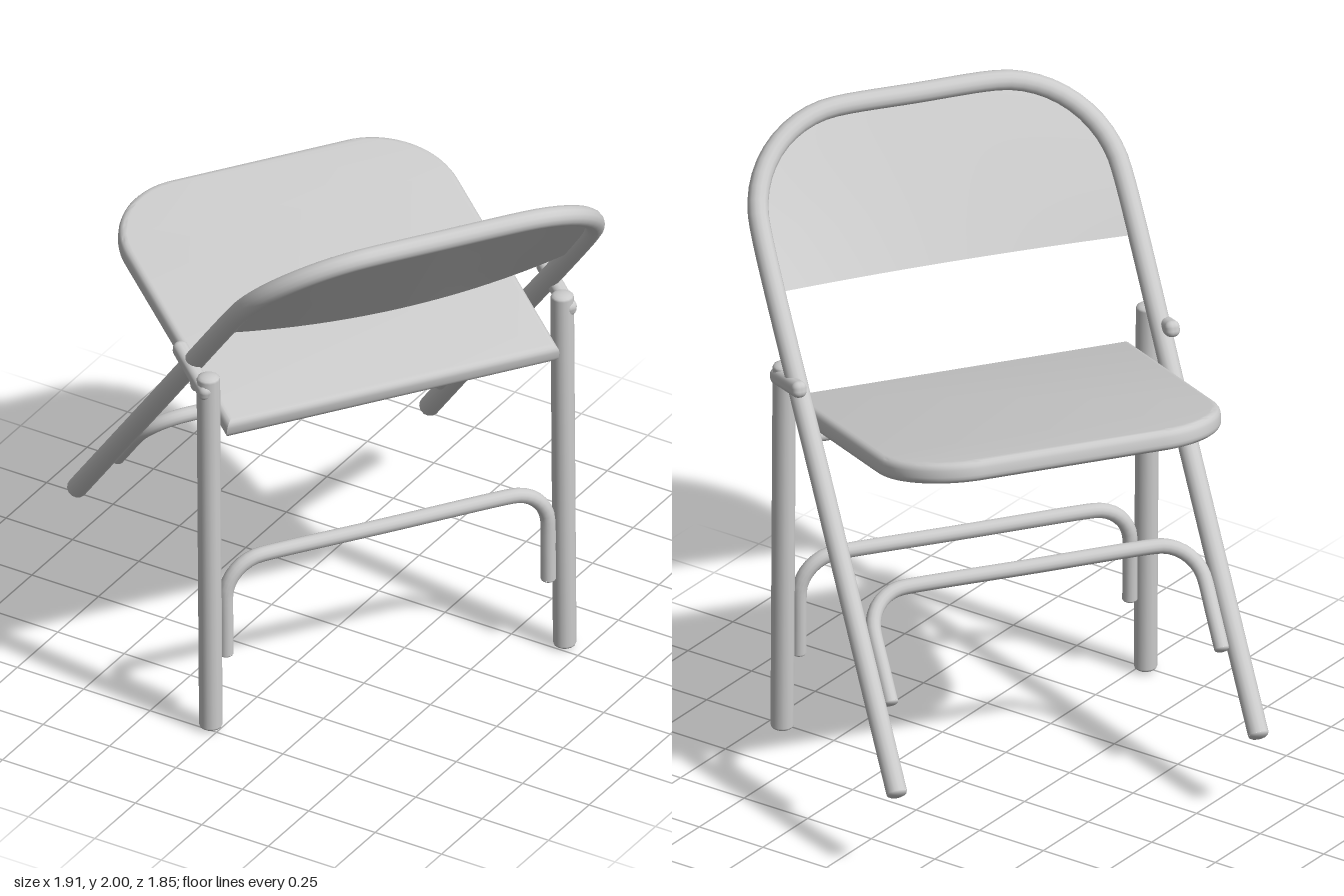
import * as THREE from 'three';
import { toCreasedNormals } from 'three/addons/utils/BufferGeometryUtils.js';
import { RoundedBoxGeometry } from 'three/addons/geometries/RoundedBoxGeometry.js';
import { ParametricGeometry } from 'three/addons/geometries/ParametricGeometry.js';

const metal = new THREE.MeshStandardMaterial({ color: 0xcccccc });
const sheet = new THREE.MeshStandardMaterial({ color: 0xcccccc, side: THREE.DoubleSide });

function part(name, geometry, parent, material = metal) {
  const mesh = new THREE.Mesh(geometry, material);
  mesh.name = name;
  parent.add(mesh);
  return mesh;
}

// Round bar along a curve, closed at both ends by low domes
function bar(name, curve, r, segments, parent) {
  const group = new THREE.Group();
  group.name = name;
  parent.add(group);
  part(name + 'Tube', new THREE.TubeGeometry(curve, segments, r, 14), group);
  for (const t of [0, 1]) {
    const dome = new THREE.SphereGeometry(r, 14, 4, 0, Math.PI * 2, 0, Math.PI / 2);
    const cap = part(name + 'Cap', dome, group);
    const out = curve.getTangentAt(t).multiplyScalar(t ? 1 : -1);
    cap.scale.y = 0.45;
    cap.quaternion.setFromUnitVectors(new THREE.Vector3(0, 1, 0), out);
    cap.position.copy(curve.getPointAt(t));
  }
  return group;
}

// Upside-down U in the XY plane: two straight legs, two round corners, a level top
function archCurve(halfWidth, bottom, top, radius) {
  const points = [];
  const add = (x, y) => points.push(new THREE.Vector3(x, y, 0));
  const cx = halfWidth - radius, cy = top - radius;
  add(halfWidth, bottom);
  add(halfWidth, (bottom + cy) / 2);
  for (let i = 0; i <= 8; i++) {
    const a = (i / 8) * Math.PI / 2;
    add(cx + radius * Math.cos(a), cy + radius * Math.sin(a));
  }
  add(0, top);
  const mirrored = points.slice(0, -1).reverse().map(p => new THREE.Vector3(-p.x, p.y, 0));
  return new THREE.CatmullRomCurve3([...points, ...mirrored]);
}

const HALF = 0.617, TOP = 2.29, CORNER = 0.37; // main frame arch
const FRAME_R = 0.034, BRACE_R = 0.025;

// Leaning frame: front legs and backrest hoop in one tube, with panel and brace
function buildFrame(parent) {
  const frame = new THREE.Group();
  frame.name = 'leaningFrame';
  frame.position.set(0, 0.28, 0.69);
  frame.rotation.x = -0.744;
  parent.add(frame);
  bar('frameHoop', archCurve(HALF, 0.01, TOP, CORNER), FRAME_R, 120, frame);
  bar('frontBrace', archCurve(0.565, 0.31, 0.68, 0.14), BRACE_R, 70, frame);

  // Backrest panel, bowed backward along its lower edge
  const panel = new ParametricGeometry((u, v, target) => {
    const k = 2 * u - 1, bow = 1 - k * k;
    const bottom = 1.71 + 0.025 * bow;
    const s = bottom + (TOP - 0.01 - bottom) * v;
    const rise = Math.max(0, s - (TOP - CORNER));
    const width = HALF - CORNER + Math.sqrt(CORNER * CORNER - rise * rise);
    target.set(k * width, s, -0.06 * bow * (1 - v));
  }, 20, 16);
  part('backrestPanel', panel, frame, sheet);
}

// Rear legs with their brace and the straps linking them to the frame
function buildRearLegs(parent) {
  for (const side of [1, -1]) {
    const leg = new THREE.LineCurve3(
      new THREE.Vector3(side * 0.62, 0.018, -0.4),
      new THREE.Vector3(side * 0.62, 1.315, -0.38));
    bar('rearLeg', leg, 0.038, 1, parent);
    const strap = part('hingeStrap', new RoundedBoxGeometry(0.05, 0.055, 0.25, 3, 0.022), parent);
    strap.position.set(side * 0.637, 1.302, -0.295);
    strap.rotation.x = -0.23;
  }
  const brace = bar('rearBrace', archCurve(0.565, 0.27, 0.61, 0.13), BRACE_R, 70, parent);
  brace.position.z = -0.398;
  brace.rotation.x = 0.012;
}

// Seat: rounded front corners, soft rim, tilted up to the front
function buildSeat(parent) {
  const seat = new THREE.Group();
  seat.name = 'seat';
  seat.position.set(0, 1.175, -0.45);
  seat.rotation.x = -0.214;
  parent.add(seat);
  const bevel = 0.024, w = 0.582 - bevel, depth = 1.115 - bevel, r = 0.25;
  const shape = new THREE.Shape();
  shape.moveTo(-w, bevel);
  shape.lineTo(w, bevel);
  shape.lineTo(w, depth - r);
  shape.absarc(w - r, depth - r, r, 0, Math.PI / 2, false);
  shape.absarc(r - w, depth - r, r, Math.PI / 2, Math.PI, false);
  shape.lineTo(-w, bevel);
  const slab = new THREE.ExtrudeGeometry(shape, {
    depth: 0.07 - 2 * bevel, bevelThickness: bevel, bevelSize: bevel, bevelSegments: 4, curveSegments: 10,
  });
  slab.rotateX(Math.PI / 2).translate(0, -bevel, 0);
  part('seatPan', toCreasedNormals(slab, 0.6), seat);
  const rod = new THREE.LineCurve3(new THREE.Vector3(-0.58, -0.074, 0.27), new THREE.Vector3(0.58, -0.074, 0.27));
  bar('seatCrossRod', rod, 0.02, 1, seat);
}

export function createModel() {
  const model = new THREE.Group();
  model.name = 'foldingChair';
  const chair = new THREE.Group();
  chair.name = 'chair';
  chair.rotation.y = -2.183;
  model.add(chair);
  buildFrame(chair);
  buildRearLegs(chair);
  buildSeat(chair);
  return model;
}
